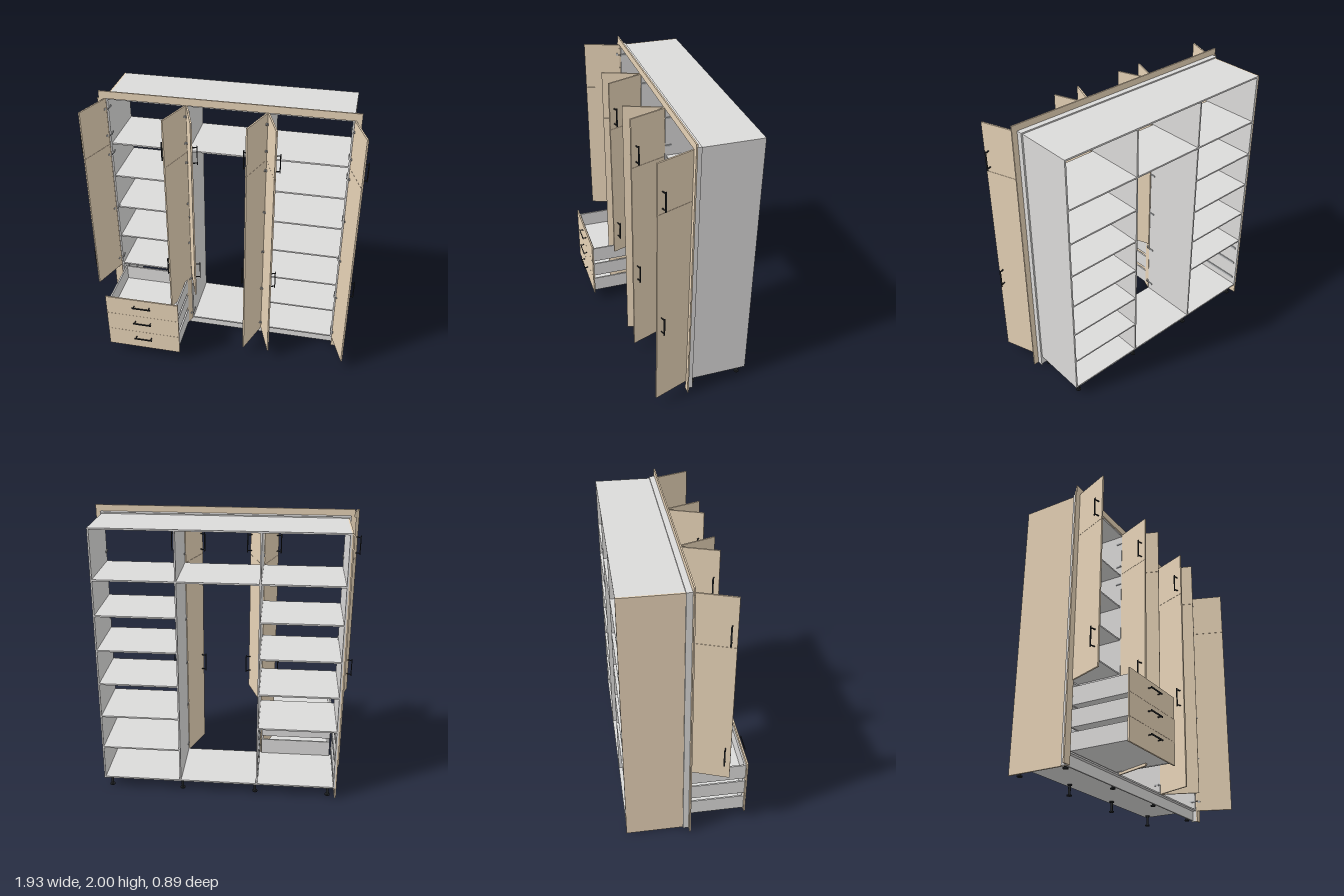
import * as THREE from 'three';

export function createModel() {
  const mat = (name, color) => {
    const m = new THREE.MeshStandardMaterial({ color });
    m.name = name;
    return m;
  };
  const wood = mat('wood', 0xe6d2b6);
  const grey = mat('greyBoard', 0xdbdad9);
  const black = mat('blackMetal', 0x25282b);
  const steel = mat('steel', 0xb4b6b8);

  const root = new THREE.Group();
  root.name = 'wardrobe';
  const group = (name, parent = root) => {
    const g = new THREE.Group();
    g.name = name;
    parent.add(g);
    return g;
  };
  // box given by its limits on each axis
  const box = (parent, name, m, [x0, x1], [y0, y1], [z0, z1]) => {
    const mesh = new THREE.Mesh(new THREE.BoxGeometry(x1 - x0, y1 - y0, z1 - z0), m);
    mesh.position.set((x0 + x1) / 2, (y0 + y1) / 2, (z0 + z1) / 2);
    mesh.name = name;
    parent.add(mesh);
    return mesh;
  };
  const cyl = (parent, name, m, r, h, x, y, z) => {
    const mesh = new THREE.Mesh(new THREE.CylinderGeometry(r, r, h, 20), m);
    mesh.position.set(x, y, z);
    mesh.name = name;
    parent.add(mesh);
    return mesh;
  };

  const T = 0.011, H = T / 2;             // board thickness
  const XO = 0.838, XD = 0.277;           // outer side and divider positions
  const Y0 = 0.08, Y1 = 1.948, YD = 0.54; // carcass bottom, top, drawer top
  const ZB = -0.443;                      // carcass back
  const depth = [ZB, 0];

  // carcass
  const carcass = group('carcass');
  box(carcass, 'bottomPanel', grey, [-XO, XO], [Y0, Y0 + T], depth);
  box(carcass, 'topPanel', grey, [-XO, XO], [Y1 - T, Y1], depth);
  for (const x of [-XO + H, -XD, XD, XO - H])
    box(carcass, 'uprightPanel', grey, [x - H, x + H], [Y0 + T, Y1 - T], depth);
  box(carcass, 'woodSidePanel', wood, [-XO - T, -XO], [0, Y1], depth);
  box(carcass, 'plinth', grey, [-XO, XO], [0.008, Y0], [-0.038, -0.027]);

  // shelves for each bay
  const bays = [
    { x: [-XO + T, -XD - H], ys: [1.597, 1.332, 1.068, 0.803, 0.54] },
    { x: [-XD + H, XD - H], ys: [1.597] },
    { x: [XD + H, XO - T], ys: [1.597, 1.346, 1.093, 0.841, 0.588, 0.337] },
  ];
  const shelves = group('shelves');
  for (const b of bays)
    for (const y of b.ys) box(shelves, 'shelf', grey, b.x, [y - H, y + H], [ZB, -0.008]);

  // hanging rail with end cups
  const rail = group('hangingRail');
  cyl(rail, 'rail', steel, 0.0085, 2 * (XD - H), 0, 1.555, -0.22).rotation.z = Math.PI / 2;
  for (const s of [-1, 1])
    cyl(rail, 'railCup', steel, 0.014, 0.008, s * (XD - H - 0.004), 1.555, -0.22).rotation.z = Math.PI / 2;

  // filler strips and front frame
  const frame = group('frontFrame');
  const fz = [-0.04, 0];
  box(frame, 'fillerRight', grey, [-XO - 2 * T, -XO - T], [0, 1.957], fz);
  box(frame, 'fillerLeft', grey, [XO, XO + T], [0, 1.957], fz);
  box(frame, 'fillerTop', grey, [-XO - T, XO], [Y1, 1.957], fz);
  const pz = [0, 0.01];
  box(frame, 'framePostRight', wood, [-0.897, -XO], [0, Y1], pz);
  box(frame, 'framePostLeft', wood, [XO, 0.886], [0, Y1], pz);
  box(frame, 'frameTop', wood, [-0.887, 0.886], [Y1, 2], pz);

  // adjustable feet
  const feet = group('feet');
  for (const x of [-0.79, -0.265, 0.265, 0.79])
    for (const z of [-0.055, -0.402]) {
      cyl(feet, 'footStem', black, 0.009, 0.08, x, 0.04, z);
      cyl(feet, 'footBase', black, 0.018, 0.008, x, 0.004, z);
      cyl(feet, 'footFlange', black, 0.016, 0.008, x, 0.076, z);
    }

  // bar handle standing out along +z by reach, upright, centred on its bar
  const handle = (parent, x, y, z, reach, horizontal) => {
    const g = group('handle', parent);
    g.position.set(x, y, z);
    if (horizontal) g.rotation.z = Math.PI / 2;
    box(g, 'handleBar', black, [-0.005, 0.005], [-0.07, 0.07], [reach - 0.005, reach]);
    for (const s of [-0.058, 0.058])
      box(g, 'handlePost', black, [-0.003, 0.003], [s - 0.003, s + 0.003], [0, reach - 0.005]);
  };

  // doors: hinge at x = p, closed leaf reaches along s, swung open 110 degrees
  const W = 0.267;
  const span = (s, a, b) => (s > 0 ? [a, b] : [-b, -a]);
  const addDoor = (p, s, short) => {
    const door = group('door');
    door.position.set(p, 0, 0.008);
    door.rotation.y = -s * THREE.MathUtils.degToRad(110);
    const yb = short ? YD : Y0;
    box(door, 'lowerDoor', wood, span(s, 0, W), [yb, 1.599], [0, T]);
    box(door, 'upperDoor', wood, span(s, 0, W), [1.6005, Y1], [0, T]);
    handle(door, s * (W - 0.035), 1.696, T, 0.036);
    handle(door, s * (W - 0.035), 0.74, T, 0.036);

    const fixed = group('hingeMounts');
    const inner = p + s * (Math.abs(p) > 0.5 ? T : H);
    const lower = short ? [1.525, 1.07, 0.61] : [1.525, 1.185, 0.84, 0.495, 0.15];
    for (const y of [1.875, 1.675, ...lower]) {
      cyl(door, 'hingeCup', steel, 0.009, 0.004, s * 0.02, y, -0.002).rotation.x = Math.PI / 2;
      const xs = span(s, 0, 0.006).map((v) => v + inner);
      box(fixed, 'hingePlate', steel, xs, [y - 0.006, y + 0.006], [-0.042, -0.008]);
      const ax = span(s, 0.001, 0.005).map((v) => v + inner);
      box(fixed, 'hingeArm', steel, ax, [y - 0.004, y + 0.004], [-0.01, 0.022]);
    }
  };
  [[-XO, -XD, true], [-XD, XD, false], [XD, XO, false]].forEach(([a, b, short]) => {
    addDoor(a, 1, short);
    addDoor(b, -1, short);
  });

  // pulled-out drawers
  const dx0 = -0.814, dx1 = -0.296, dz = [-0.02, 0.402];
  [[0.095, 0.213], [0.245, 0.36], [0.388, 0.51]].forEach(([y0, y1], i) => {
    const d = group('drawer');
    const f0 = Y0 + i * 0.1535;
    box(d, 'drawerFront', wood, [-0.835, -0.281], [f0, f0 + 0.1525], [0.402, 0.413]);
    handle(d, -0.557, 0.181 + i * 0.151, 0.413, 0.03, true);
    box(d, 'drawerSide', grey, [dx0, dx0 + T], [y0, y1], dz);
    box(d, 'drawerSide', grey, [dx1 - T, dx1], [y0, y1], dz);
    box(d, 'drawerBack', grey, [dx0 + T, dx1 - T], [y0, y1], [dz[0], dz[0] + T]);
    box(d, 'drawerInnerFront', grey, [dx0 + T, dx1 - T], [y0, y1], [dz[1] - T, dz[1]]);
    box(d, 'drawerBase', grey, [dx0 + T, dx1 - T], [y0 + 0.002, y0 + 0.007], [dz[0] + T, dz[1] - T]);
    // runners fixed to the carcass
    const ym = (y0 + y1) / 2, ry = [ym - 0.009, ym + 0.009];
    box(d, 'carcassRunner', steel, [-XO + T, -XO + T + 0.006], ry, [-0.42, -0.005]);
    box(d, 'carcassRunner', steel, [-XD - H - 0.006, -XD - H], ry, [-0.42, -0.005]);
  });

  return root;
}
